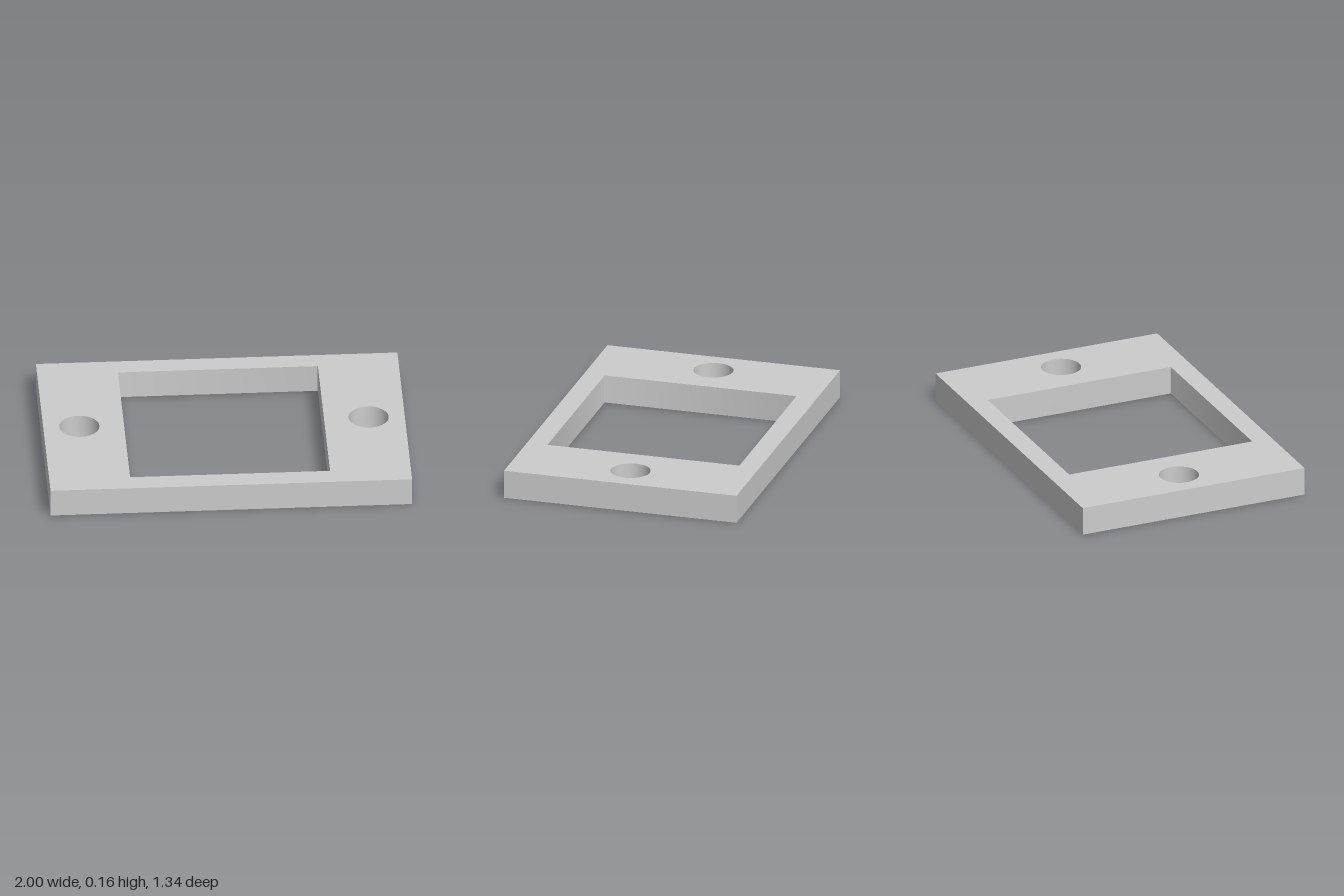
import * as THREE from 'three';
import { toCreasedNormals } from 'three/addons/utils/BufferGeometryUtils.js';

const WIDTH = 2, DEPTH = 1.34, THICKNESS = 0.16;
const OPENING = 1.106, CORNER = 0.008;
const HOLE_X = 0.8, HOLE_RADIUS = 0.111;

// Rectangle centred on the origin, with optional small corner radius
function rectangle(target, w, h, r = 0) {
  const x = w / 2, y = h / 2;
  if (r === 0) {
    target.moveTo(-x, -y).lineTo(x, -y).lineTo(x, y).lineTo(-x, y).closePath();
    return target;
  }
  target.moveTo(-x + r, -y);
  target.lineTo(x - r, -y).quadraticCurveTo(x, -y, x, -y + r);
  target.lineTo(x, y - r).quadraticCurveTo(x, y, x - r, y);
  target.lineTo(-x + r, y).quadraticCurveTo(-x, y, -x, y - r);
  target.lineTo(-x, -y + r).quadraticCurveTo(-x, -y, -x + r, -y);
  return target;
}

export function createModel() {
  const model = new THREE.Group();
  model.name = 'mountingFrame';

  const grey = new THREE.MeshStandardMaterial({ color: 0xcccccc });
  grey.name = 'light grey';

  // Plate outline with a square opening and a bolt hole on each side
  const outline = rectangle(new THREE.Shape(), WIDTH, DEPTH);
  outline.holes.push(rectangle(new THREE.Path(), OPENING, OPENING, CORNER));
  for (const side of [-1, 1]) {
    outline.holes.push(new THREE.Path().absarc(side * HOLE_X, 0, HOLE_RADIUS, 0, Math.PI * 2, true));
  }

  // Extrude, then lay flat on the ground
  const geometry = new THREE.ExtrudeGeometry(outline, {
    depth: THICKNESS, bevelEnabled: false, curveSegments: 24,
  });
  geometry.rotateX(-Math.PI / 2);

  const plate = new THREE.Mesh(toCreasedNormals(geometry, Math.PI / 6), grey);
  plate.name = 'framePlate';
  model.add(plate);
  return model;
}
